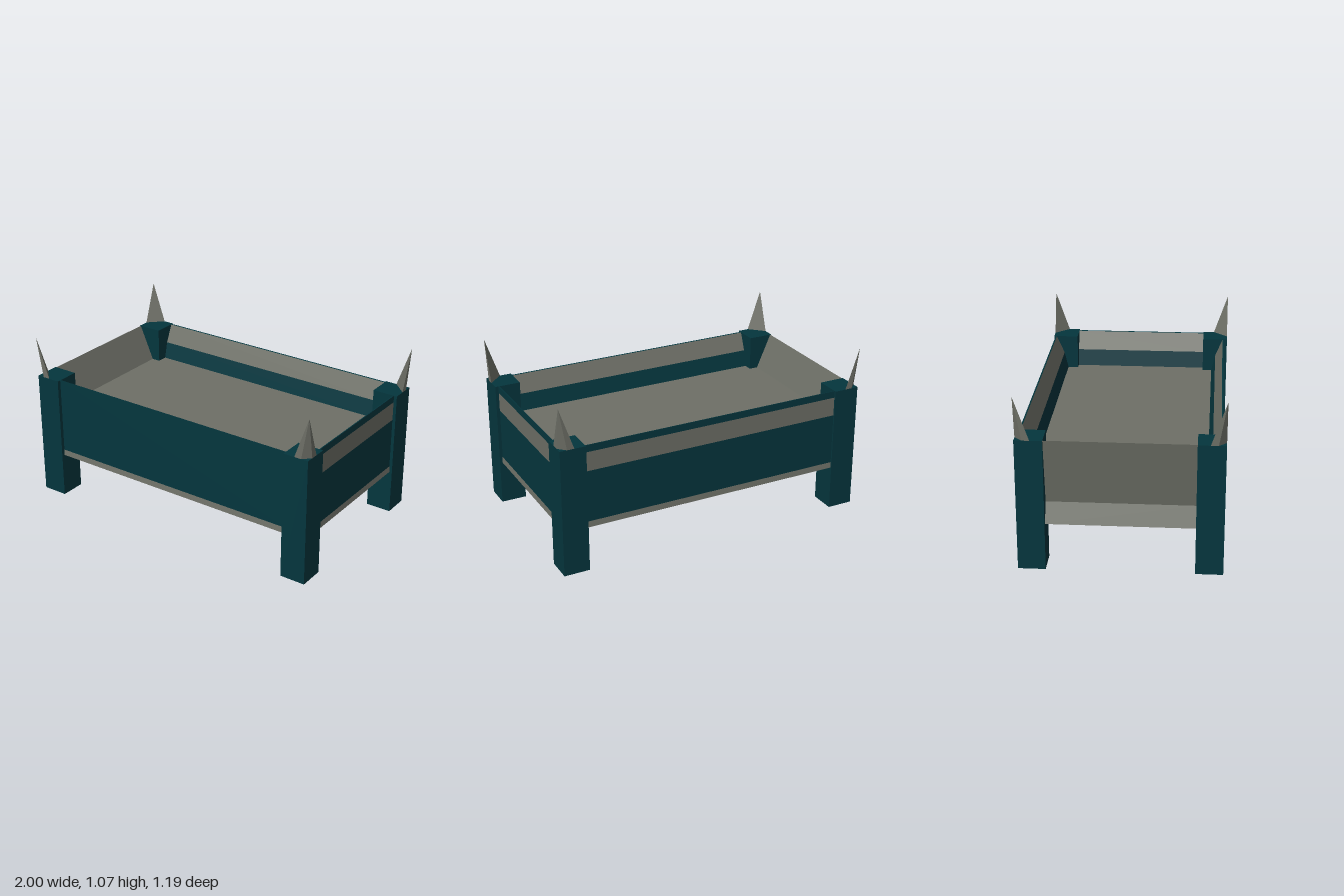
import * as THREE from 'three';
import { ConvexGeometry } from 'three/addons/geometries/ConvexGeometry.js';

export function createModel() {
  const model = new THREE.Group();
  model.name = 'raisedBed';

  const teal = new THREE.MeshStandardMaterial({ color: 0x04363e, flatShading: true, side: THREE.DoubleSide });
  teal.name = 'dark teal';
  const grey = new THREE.MeshStandardMaterial({ color: 0x6e7067, flatShading: true, side: THREE.DoubleSide });
  grey.name = 'warm grey';

  const HX = 1, HZ = 0.595, POST = 0.162, TOP = 0.807, BOTTOM = 0.282;
  const FLOOR = 0.583, UNDER = 0.555;

  function add(parent, geometry, material, name) {
    const mesh = new THREE.Mesh(geometry, material);
    mesh.name = name;
    parent.add(mesh);
    return mesh;
  }

  // Flat board face running along x between two [z, y] profile points
  function faceGeometry([z0, y0], [z1, y1], half) {
    const g = new THREE.BufferGeometry();
    g.setAttribute('position', new THREE.Float32BufferAttribute([
      -half, y0, z0, -half, y1, z1, half, y1, z1, half, y0, z0,
    ], 3));
    g.setIndex([0, 1, 2, 0, 2, 3]);
    g.computeVertexNormals();
    return g;
  }

  // One side panel: profile is a list of [z, y, material of the face that starts there]
  function panel(name, profile, half, angle) {
    const group = new THREE.Group();
    group.name = name;
    for (let i = 0; i < profile.length - 1; i++) {
      add(group, faceGeometry(profile[i], profile[i + 1], half), profile[i][2], `${name}Face${i + 1}`);
    }
    group.rotation.y = angle;
    model.add(group);
  }

  // Two-tone panel profile: outer bands, flared underside, then inner wall and rim
  function twoTone(d, foot, banded) {
    const bands = banded ? [[d, 0.763, grey], [d, 0.643, teal]] : [];
    return [
      [d, TOP, teal], ...bands, [d, 0.318, grey], [d + 0.005, BOTTOM, grey],
      [d - 0.055, 0.4, grey], [d - foot, FLOOR, teal],
      [d - foot + 0.025, 0.69, grey], [d - 0.008, TOP - 0.002, teal], [d, TOP, teal],
    ];
  }

  const halfLong = HX - POST + 0.005, halfShort = HZ - POST + 0.005;
  panel('frontPanel', twoTone(0.572, 0.08, false), halfLong, 0);
  panel('backPanel', twoTone(0.585, 0.085, true), halfLong, Math.PI);
  panel('leftPanel', twoTone(0.98, 0.095, true), halfShort, Math.PI / 2);

  // Plain right panel: outer skin with a kink, and an inner slope down to the floor
  panel('rightPanel', [
    [0.98, BOTTOM, grey], [0.925, 0.4, grey], [0.993, TOP, grey], [0.895, FLOOR, grey],
  ], halfShort, -Math.PI / 2);

  // Bed floor
  const floor = add(model, new THREE.BoxGeometry(1.79, FLOOR - UNDER, 0.995), grey, 'floor');
  floor.position.set(-0.005, (FLOOR + UNDER) / 2, -0.003);

  // Corner posts, each with a spike leaning to its outer corner
  for (const sx of [-1, 1]) {
    for (const sz of [-1, 1]) {
      const label = (sz > 0 ? 'front' : 'back') + (sx > 0 ? 'Left' : 'Right');
      const post = add(model, new THREE.BoxGeometry(POST, TOP, POST), teal, `${label}Post`);
      post.position.set(sx * (HX - POST / 2), TOP / 2, sz * (HZ - POST / 2));

      const base = [[0.045, 0], [0.09, 0], [0, 0.09], [0, 0.045]];
      const points = base.map(([a, b]) => new THREE.Vector3(sx * (HX - a), TOP, sz * (HZ - b)));
      points.push(new THREE.Vector3(sx * HX, 1.067, sz * HZ));
      add(model, new ConvexGeometry(points), grey, `${label}Spike`);
    }
  }

  return model;
}
